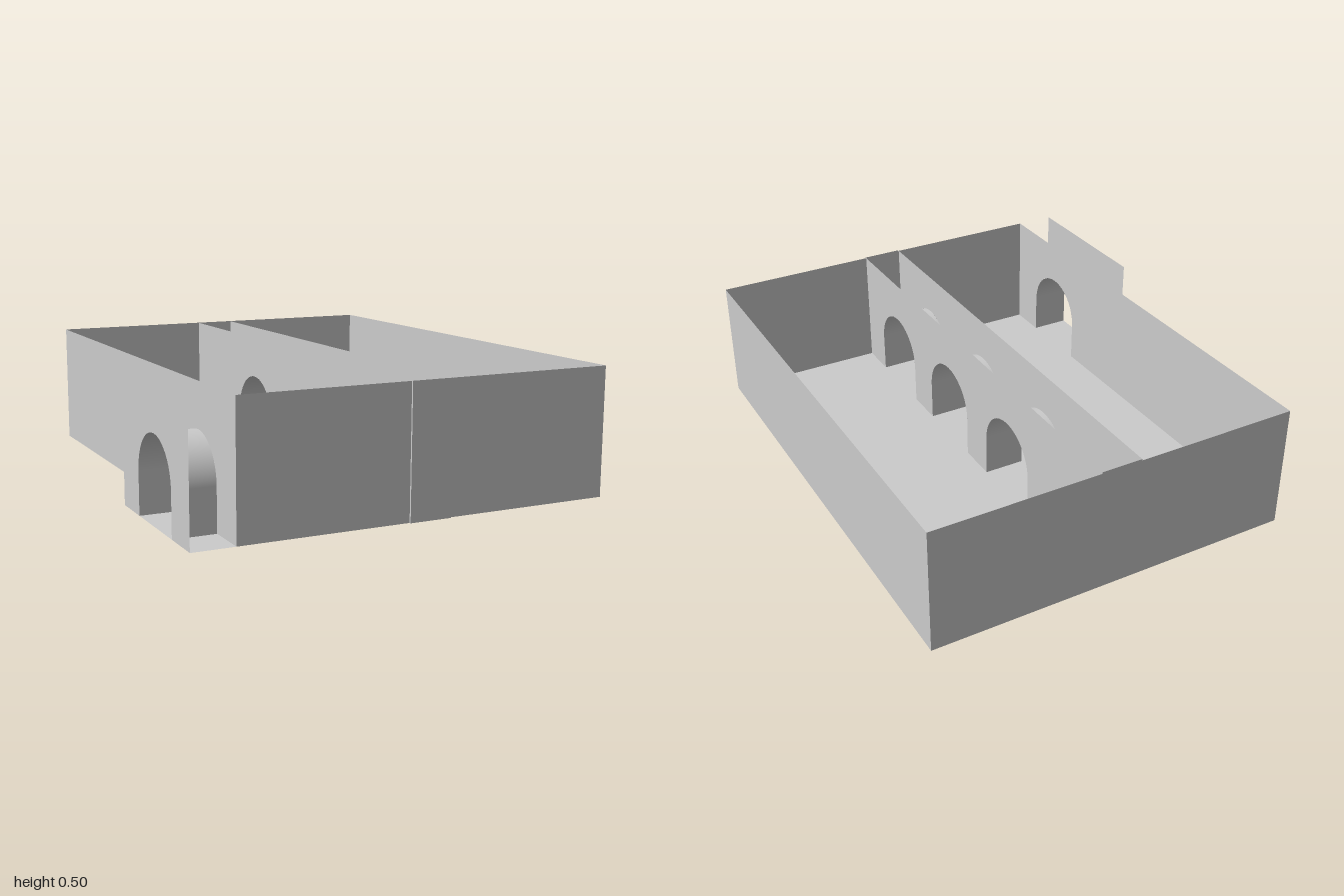
import * as THREE from 'three';

const U = 0.166;          // plan module
const H = 0.503;          // wall height
const R = U;              // arch radius; arches spring at height U
const BACK = -1, FRONT = 0.993;
const LEFT = 5 * U, RIGHT = -4 * U - 0.003, PORCH = -5 * U;
const CORE = [-0.009, 0.157], CORE_BACK = -0.993, CORE_FRONT = 1;

export function createModel() {
  const model = new THREE.Group();
  const material = new THREE.MeshStandardMaterial({ color: 0xcccccc, side: THREE.DoubleSide });

  const add = (name, geometry, parent = model) => {
    const mesh = new THREE.Mesh(geometry, material);
    mesh.name = name;
    parent.add(mesh);
    return mesh;
  };

  // Wall running along z at a given x, with arched doorways cut up from the floor
  const sideWall = (name, x, z0, z1, doors = []) => {
    const s = new THREE.Shape();
    s.moveTo(z0, 0);
    for (const c of doors) {
      s.lineTo(c - R, 0);
      s.lineTo(c - R, U);
      s.absarc(c, U, R, Math.PI, 0, true);
      s.lineTo(c + R, 0);
    }
    s.lineTo(z1, 0);
    s.lineTo(z1, H);
    s.lineTo(z0, H);
    s.closePath();
    const g = new THREE.ShapeGeometry(s, 24);
    g.rotateY(-Math.PI / 2);
    g.translate(x, 0, 0);
    add(name, g);
  };

  // Wall running along x at a given z
  const crossWall = (name, z, x0, x1) => {
    const g = new THREE.PlaneGeometry(x1 - x0, H);
    g.translate((x0 + x1) / 2, H / 2, z);
    add(name, g);
  };

  // Vaulted passage joining two parallel walls
  const passage = (name, x0, x1, z) => {
    const group = new THREE.Group();
    group.name = name;
    const w = x1 - x0;
    const vault = new THREE.CylinderGeometry(R, R, w, 24, 1, true, 0, Math.PI);
    vault.rotateZ(Math.PI / 2);
    vault.translate(0, U, 0);
    add('vault', vault, group);
    for (const side of [-1, 1]) {
      const jamb = new THREE.PlaneGeometry(w, U);
      if (side < 0) jamb.rotateY(Math.PI);
      jamb.translate(0, U / 2, side * R);
      add('jamb', jamb, group);
    }
    group.position.set((x0 + x1) / 2, 0, z);
    model.add(group);
  };

  // Floor, including the porch and the small step of the central wall at the front
  const porchBack = FRONT - 4 * U;
  const outline = [
    [RIGHT, BACK], [LEFT, BACK], [LEFT, FRONT],
    [CORE[1], FRONT], [CORE[1], CORE_FRONT], [CORE[0], CORE_FRONT], [CORE[0], FRONT],
    [PORCH, FRONT], [PORCH, porchBack], [RIGHT, porchBack],
  ];
  const floor = new THREE.ShapeGeometry(
    new THREE.Shape(outline.map(([x, z]) => new THREE.Vector2(x, -z))));
  floor.rotateX(-Math.PI / 2);
  add('floor', floor);

  // Outer walls and porch
  const porchDoor = FRONT - 2 * U;
  crossWall('backWall', BACK, RIGHT, LEFT);
  crossWall('frontWall', FRONT, RIGHT, LEFT);
  sideWall('leftWall', LEFT, BACK, FRONT);
  sideWall('rightWall', RIGHT, BACK, FRONT, [porchDoor]);
  sideWall('porchWall', PORCH, porchBack, FRONT, [porchDoor]);
  passage('porchPassage', PORCH, RIGHT, porchDoor);

  // Hollow central wall with three passages
  const doors = [4, 7, 10].map(n => CORE_BACK + n * U);
  CORE.forEach(x => sideWall('centralWall', x, CORE_BACK, CORE_FRONT, doors));
  crossWall('centralWallBackEnd', CORE_BACK, ...CORE);
  crossWall('centralWallFrontEnd', CORE_FRONT, ...CORE);
  doors.forEach(z => passage('centralPassage', ...CORE, z));

  return model;
}
